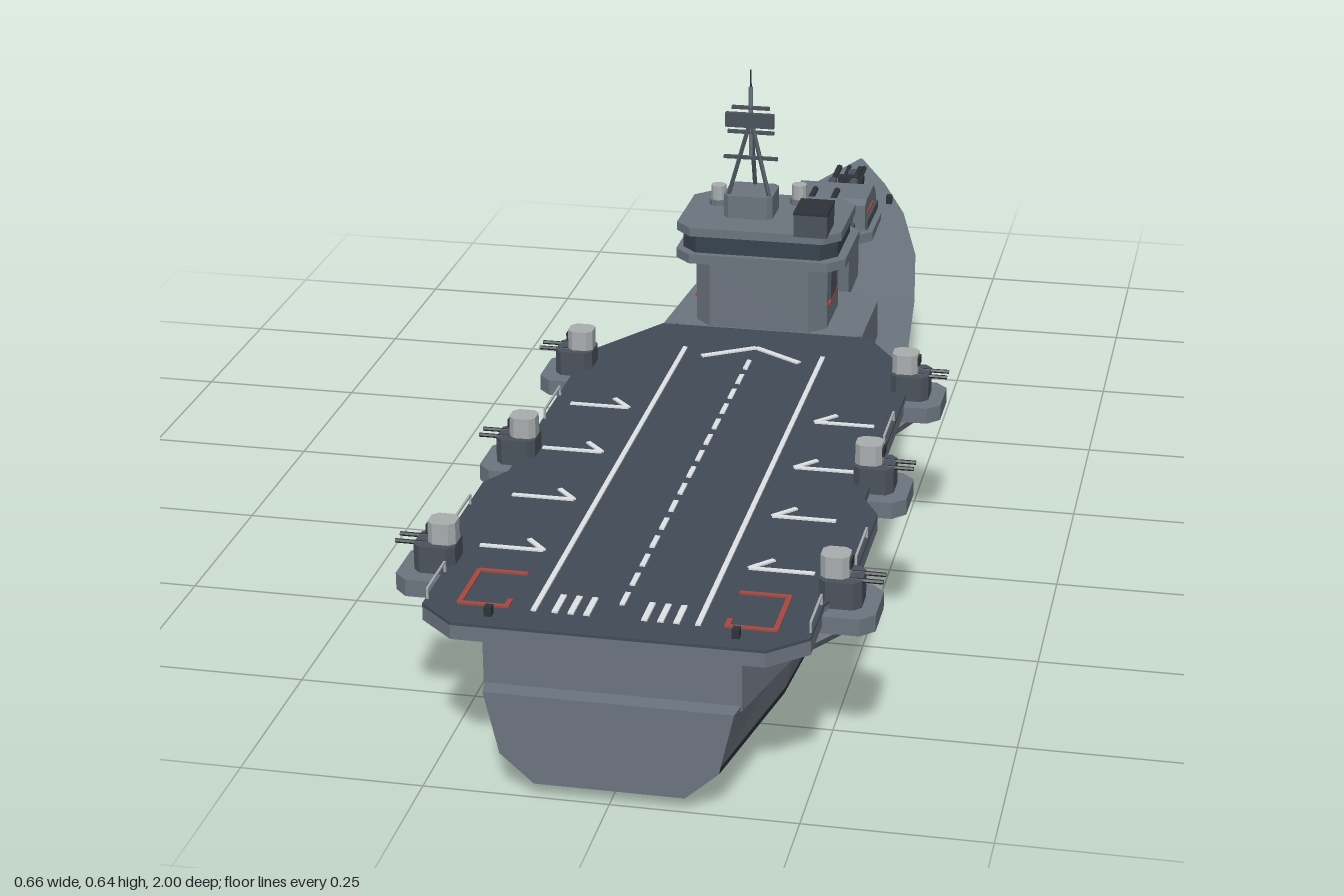
import * as THREE from 'three';

const mat = (name, color) => {
  const m = new THREE.MeshStandardMaterial({ color });
  m.name = name;
  m.flatShading = true;
  return m;
};

export function createModel() {
  const root = new THREE.Group();
  root.name = 'warship';
  const M = {
    hull: mat('hull grey', 0x6b747e), dark: mat('dark grey', 0x4a525b),
    deck: mat('deck slate', 0x424b56), black: mat('gunmetal', 0x2c3238),
    red: mat('antifouling red', 0x6f3631), mark: mat('marking red', 0xa3483f),
    white: mat('line white', 0xdfe3e5), light: mat('light grey', 0xa9adae),
    glass: mat('window slate', 0x36424c),
  };

  // ---- helpers ----
  const add = (name, m, geo, parent = root) => {
    const mesh = new THREE.Mesh(geo, m);
    mesh.name = name;
    parent.add(mesh);
    return mesh;
  };
  const box = (name, m, x, y, z, w, h, d, parent) => {
    const b = add(name, m, new THREE.BoxGeometry(w, h, d), parent);
    b.position.set(x, y, z);
    return b;
  };
  // upright prism from a plan outline of [x, z] points
  const prism = (name, m, pts, y0, y1, parent) => {
    const s = new THREE.Shape(pts.map(([x, z]) => new THREE.Vector2(x, -z)));
    const g = new THREE.ExtrudeGeometry(s, { depth: y1 - y0, bevelEnabled: false });
    g.rotateX(-Math.PI / 2).translate(0, y0, 0);
    return add(name, m, g, parent);
  };
  const mirrored = (half) => [...half, ...half.map(([x, z]) => [-x, z]).reverse()];
  // rectangle plan with cut corners
  const cut = (x0, x1, z0, z1, c) => [[x0 + c, z0], [x1 - c, z0], [x1, z0 + c], [x1, z1 - c],
    [x1 - c, z1], [x0 + c, z1], [x0, z1 - c], [x0, z0 + c]];
  const rod = (name, m, a, b, r, parent, sides = 6) => {
    const A = new THREE.Vector3(...a), B = new THREE.Vector3(...b), d = B.clone().sub(A);
    const c = add(name, m, new THREE.CylinderGeometry(r, r, d.length(), sides), parent);
    c.position.copy(A).add(B).multiplyScalar(0.5);
    c.quaternion.setFromUnitVectors(new THREE.Vector3(0, 1, 0), d.normalize());
    return c;
  };
  const quads = (name, m, list) => {
    const pos = [];
    for (const [a, b, c, d] of list) pos.push(...a, ...b, ...c, ...a, ...c, ...d);
    const g = new THREE.BufferGeometry();
    g.setAttribute('position', new THREE.Float32BufferAttribute(pos, 3));
    g.computeVertexNormals();
    return add(name, m, g);
  };

  // ---- hull: [z, top half-width, top y, waterline half-width, keel half-width, keel y] ----
  const stations = [
    [1, .165, .147, .145, .1, .02], [.77, .205, .152, .187, .132, 0], [.45, .234, .161, .21, .145, 0],
    [.1, .23, .166, .21, .145, 0], [-.2, .207, .172, .185, .125, 0], [-.4, .188, .178, .162, .1, 0],
    [-.6, .16, .187, .128, .072, 0], [-.78, .112, .197, .08, .038, 0], [-.9, .06, .207, .038, .014, .006],
    [-1, .002, .219, .002, .001, .035],
  ];
  const rings = stations.map(([z, tw, ty, mw, bw, by]) => {
    const sw = mw + (tw - mw) * 0.1;
    const half = [[bw, by, Math.max(z, -.975)], [mw, .06, z], [sw, .07, z], [tw, ty, z]];
    return [...half, ...half.map(([x, y, zz]) => [-x, y, zz]).reverse()];
  });
  const band = (...segs) => {
    const out = [];
    for (let i = 0; i < rings.length - 1; i++) for (const j of segs) {
      const k = (j + 1) % 8;
      out.push([rings[i][j], rings[i + 1][j], rings[i + 1][k], rings[i][k]]);
    }
    return out;
  };
  const capFaces = (r, flip) => [0, 1, 2].map((j) => {
    const q = [r[7 - j], r[j], r[j + 1], r[6 - j]];
    return flip ? q.reverse() : q;
  });
  quads('hullBottom', M.red, band(0, 6, 7));
  quads('bootStripe', M.black, band(1, 5));
  quads('hullSides', M.hull, band(2, 4));
  quads('foredeck', M.hull, band(3));
  quads('transom', M.hull, capFaces(rings[0], false));
  quads('stem', M.hull, capFaces(rings[rings.length - 1], true));

  // ---- hangar and flight deck ----
  prism('hangar', M.hull, mirrored([[.15, -.05], [.208, .06], [.213, .8], [.17, .975]]), .14, .219);
  const deckPlan = mirrored([[.165, -.065], [.255, .075], [.255, .53], [.28, .575], [.28, .8],
    [.255, .86], [.255, .955], [.205, 1]]);
  prism('flightDeckEdge', M.hull, deckPlan, .219, .239);
  prism('flightDeckTop', M.deck, deckPlan, .239, .243);

  // ---- deck markings ----
  const line = (m, x0, z0, x1, z1, w = .007) => {
    const b = box('deckMarking', m, (x0 + x1) / 2, .244, (z0 + z1) / 2, w, .003, Math.hypot(x1 - x0, z1 - z0));
    b.rotation.y = Math.atan2(x1 - x0, z1 - z0);
  };
  for (let i = 0; i < 15; i++) line(M.white, 0, .065 + i * .058, 0, .1 + i * .058);
  for (const s of [-1, 1]) {
    line(M.white, s * .108, .03, s * .108, .95);
    line(M.white, 0, .012, s * .076, .06, .009);
    for (let i = 0; i < 3; i++) line(M.white, s * (.038 + i * .021), .9, s * (.038 + i * .021), .95, .008);
    for (const z of [.28, .445, .61, .775]) {
      line(M.white, s * .14, z, s * .228, z);
      line(M.white, s * .14, z, s * .168, z - .03);
    }
    line(M.mark, s * .142, .848, s * .21, .848);
    line(M.mark, s * .208, .848, s * .208, .945);
    line(M.mark, s * .142, .945, s * .21, .945);
    line(M.mark, s * .145, .925, s * .145, .945);
    box('deckBollard', M.black, s * .162, .249, .97, .01, .013, .012);
  }

  // ---- sponsons with anti-aircraft guns, rails, brackets, portholes ----
  for (const s of [-1, 1]) {
    for (const [z, o] of [[.12, 0], [.46, 0], [.82, .014]]) {
      const g = new THREE.Group();
      g.name = 'gunSponson';
      root.add(g);
      const X = (x) => s * (x + o);
      const plan = cut(.195, .308, z - .052, z + .052, .018).map(([x, zz]) => [X(x), zz]);
      prism('sponsonPlatform', M.hull, plan, .208, .232, g);
      const ped = cut(.23, .287, z - .028, z + .028, .01).map(([x, zz]) => [X(x), zz]);
      prism('gunPedestal', M.dark, ped, .232, .27, g);
      const hood = cut(.231, .269, z - .018, z + .018, .008).map(([x, zz]) => [X(x), zz]);
      prism('gunHood', M.light, hood, .27, .3, g);
      box('gunMantlet', M.black, X(.269), .288, z, .006, .012, .02, g);
      for (const dz of [-.011, .011]) rod('gunBarrel', M.black, [X(.27), .268, z + dz], [X(.314), .268, z + dz], .003, g);
      for (const dz of [-.03, .03]) {
        const b = rod('sponsonBrace', M.hull, [s * .21, .163, z + dz], [X(.27), .212, z + dz], .009, g, 4);
        b.name = 'sponsonBrace';
      }
    }
    for (const z of [.29, .63]) box('deckBracket', M.dark, s * .222, .203, z, .03, .034, .014);
    box('galleryWalk', M.dark, s * .225, .211, .45, .04, .008, .7);
    // safety rails
    for (const [z0, z1, x] of [[.25, .34, .252], [.65, .74, .277], [.86, .94, .252]]) {
      box('rail', M.light, s * x, .257, (z0 + z1) / 2, .003, .003, z1 - z0);
      for (const z of [z0, z1]) box('railPost', M.light, s * x, .25, z, .003, .015, .003);
    }
    // scuttles set along the hull side
    for (const [z, x] of [[-.7, .122], [-.5, .163], [-.3, .189], [-.1, .207]]) {
      const p = box('scuttle', M.black, s * x, .135, z, .008, .008, .022);
      p.rotation.y = -s * Math.atan(z < -.55 ? .22 : .11) * -1;
    }
    // forecastle fittings
    box('bowBollard', M.black, s * .08, .207, -.82, .01, .014, .014);
    rod('anchorChain', M.black, [s * .014, .213, -.86], [s * .014, .219, -.95], .004);
  }
  box('windlass', M.black, 0, .214, -.885, .045, .018, .018);
  box('bowFitting', M.dark, 0, .216, -.92, .02, .012, .02);

  // ---- island ----
  prism('islandBase', M.hull, cut(-.15, .15, -.275, -.06, .03), .16, .236);
  prism('islandTower', M.hull, cut(-.12, .09, -.24, -.085, .026), .236, .35);
  prism('bridgeFloor', M.hull, cut(-.148, .122, -.25, -.065, .025), .347, .362);
  prism('bridgeWindows', M.glass, cut(-.138, .108, -.242, -.075, .024), .362, .392);
  prism('bridgeRoof', M.hull, cut(-.147, .115, -.25, -.068, .025), .391, .405);
  for (const x of [-.121, .091]) {
    box('towerStripe', M.mark, x, .274, -.155, .006, .005, .07);
    box('towerDoor', M.dark, x, .3, -.155, .004, .06, .05);
  }
  box('directorBox', M.dark, .071, .422, -.095, .052, .036, .068);
  box('directorLid', M.black, .071, .442, -.095, .054, .004, .07);
  prism('mastHouse', M.hull, cut(-.08, -.002, -.195, -.125, .008), .405, .442);
  for (const [x, z] of [[-.1, -.19], [.026, -.215]]) {
    rod('searchlightBase', M.hull, [x, .405, z], [x, .414, z], .015, root, 10);
    rod('searchlight', M.light, [x, .414, z], [x, .437, z], .012, root, 10);
  }

  // ---- tripod mast ----
  const mx = -.041, mz = -.155;
  const mast = new THREE.Group();
  mast.name = 'mast';
  root.add(mast);
  for (const [x, z] of [[-.073, -.135], [-.008, -.135], [mx, -.19]])
    rod('mastLeg', M.dark, [x, .44, z], [mx, .56, mz], .0035, mast);
  rod('mastPole', M.hull, [mx, .5, mz], [mx, .613, mz], .0035, mast);
  rod('mastTip', M.black, [mx, .61, mz], [mx, .641, mz], .0015, mast);
  for (const [y, w] of [[.497, .086], [.539, .074], [.579, .06]])
    box('mastYard', M.dark, mx, y, mz, w, .005, .006, mast);
  box('radarPanel', M.dark, mx, .561, mz + .008, .077, .023, .008, mast);

  // ---- main gun turrets ----
  const turret = (z, y0, y1) => {
    const g = new THREE.Group();
    g.name = 'mainTurret';
    root.add(g);
    prism('barbette', M.hull, cut(-.077, .077, z - .067, z + .072, .02), y0, y1, g);
    // house: side profile swept across the beam
    const prof = [[.06, 0], [.06, .045], [.045, .052], [-.035, .052], [-.06, .028], [-.06, 0]];
    const s = new THREE.Shape(prof.map(([a, b]) => new THREE.Vector2(-a, b)));
    const house = add('gunHouse', M.hull,
      new THREE.ExtrudeGeometry(s, { depth: .13, bevelEnabled: false }).rotateY(Math.PI / 2), g);
    house.position.set(-.065, y1 + .004, z);
    box('turretRing', M.black, 0, y1 + .003, z, .11, .008, .1, g);
    for (const k of [-1, 1]) {
      box('turretStripe', M.mark, k * .0655, y1 + .03, z + .01, .004, .005, .055, g);
      box('turretSkirt', M.dark, k * .066, y1 + .013, z, .006, .016, .116, g);
      rod('barrelSleeve', M.dark, [k * .019, y1 + .034, z - .035], [k * .019, y1 + .036, z - .1], .0085, g, 8);
      rod('mainBarrel', M.black, [k * .019, y1 + .036, z - .09], [k * .019, y1 + .038, z - .17], .0055, g, 8);
    }
    box('mantlet', M.black, 0, y1 + .03, z - .055, .07, .024, .022, g);
  };
  turret(-.45, .17, .25);
  turret(-.7, .18, .206);

  return root;
}
